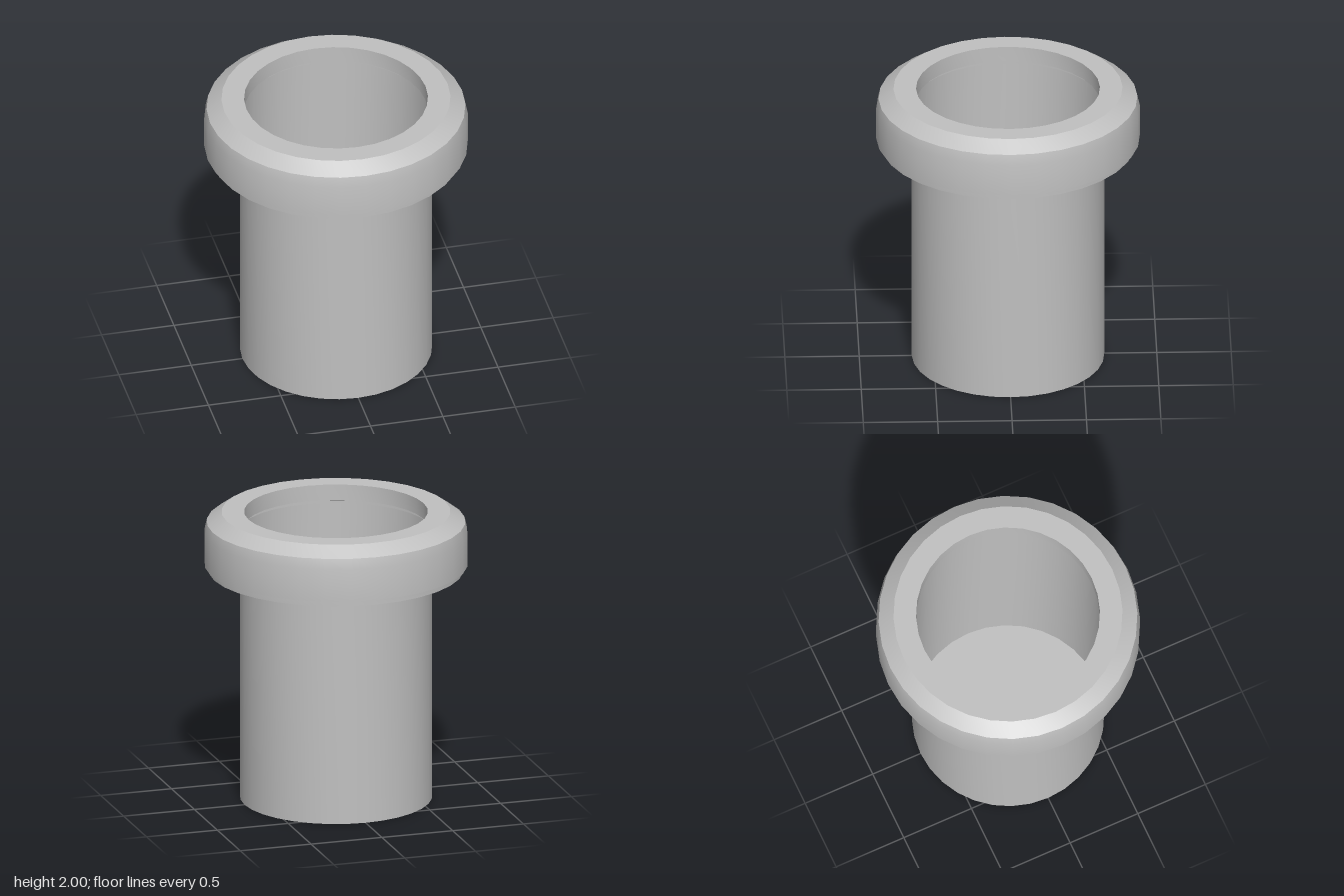
import * as THREE from 'three';
import { toCreasedNormals } from 'three/addons/utils/BufferGeometryUtils.js';

const SIDES = 32;

// Turn a [radius, height] profile around y, keeping hard edges sharp
function turned(name, profile, material) {
  const points = profile.map(([r, y]) => new THREE.Vector2(r, y));
  const geometry = toCreasedNormals(new THREE.LatheGeometry(points, SIDES), 0.6);
  const mesh = new THREE.Mesh(geometry, material);
  mesh.name = name;
  return mesh;
}

export function createModel() {
  const group = new THREE.Group();
  group.name = 'collaredTube';

  const grey = new THREE.MeshStandardMaterial({ color: 0xc0c0c0, side: THREE.DoubleSide });
  grey.name = 'grey';

  // Thin-walled tube, closed at the bottom and open at the top
  group.add(turned('tube', [[0, 0], [0.647, 0], [0.647, 1.862]], grey));

  // Hollow collar: stepped lip, outer wall, chamfer, opening and cavity inside
  group.add(turned('collar', [
    [0.845, 1.594], [0.86, 1.594], [0.86, 1.634], [0.886, 1.634],
    [0.886, 1.86], [0.87, 1.93], [0.77, 2],
    [0.618, 2], [0.618, 1.89],
    [0.72, 1.89], [0.845, 1.82], [0.845, 1.594],
  ], grey));

  return group;
}
